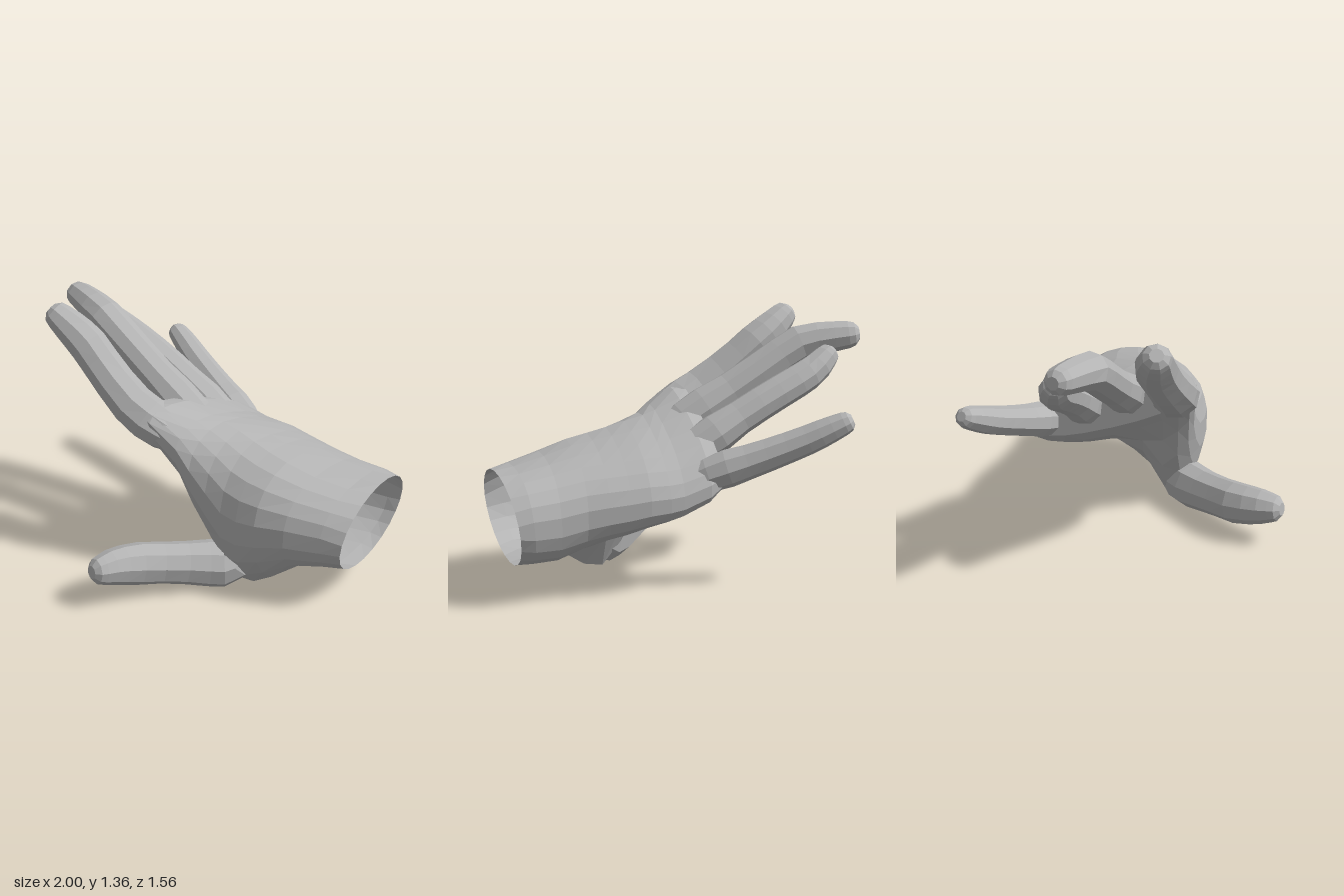
import * as THREE from 'three';

const skin = new THREE.MeshStandardMaterial({ color: 0xb4b4b4, flatShading: true, side: THREE.DoubleSide });
skin.name = 'plain grey';

// Skins a list of rings (arrays of Vector3) and closes the far end.
function loft(name, rings) {
  const n = rings[0].length, pos = [], idx = [];
  rings.forEach(r => r.forEach(p => pos.push(p.x, p.y, p.z)));
  for (let i = 0; i < rings.length - 1; i++) {
    for (let j = 0; j < n; j++) {
      const a = i * n + j, b = i * n + (j + 1) % n;
      idx.push(a, b, a + n, b, b + n, a + n);
    }
  }
  const last = rings[rings.length - 1], base = (rings.length - 1) * n;
  const c = last.reduce((s, p) => s.add(p), new THREE.Vector3()).divideScalar(n);
  pos.push(c.x, c.y, c.z);
  for (let j = 0; j < n; j++) idx.push(base + j, base + (j + 1) % n, rings.length * n);
  const g = new THREE.BufferGeometry();
  g.setAttribute('position', new THREE.Float32BufferAttribute(pos, 3));
  g.setIndex(idx);
  g.computeVertexNormals();
  const mesh = new THREE.Mesh(g, skin);
  mesh.name = name;
  return mesh;
}

// A digit follows points [x, y, z, radius] and ends in a rounded tip.
function digit(name, pts, hint, sides = 9, steps = 9) {
  const curve = new THREE.CatmullRomCurve3(pts.map(p => new THREE.Vector3(p[0], p[1], p[2])));
  const rings = [];
  const radiusAt = u => {
    const f = u * (pts.length - 1), k = Math.min(Math.floor(f), pts.length - 2);
    return THREE.MathUtils.lerp(pts[k][3], pts[k + 1][3], f - k);
  };
  const addRing = (c, t, r) => {
    const side = hint.clone().addScaledVector(t, -hint.dot(t)).normalize();
    const up = t.clone().cross(side);
    rings.push(Array.from({ length: sides }, (_, j) => {
      const a = (j / sides) * Math.PI * 2;
      return c.clone().addScaledVector(side, Math.cos(a) * r).addScaledVector(up, Math.sin(a) * r * 0.95);
    }));
  };
  for (let i = 0; i <= steps; i++) addRing(curve.getPoint(i / steps), curve.getTangent(i / steps), radiusAt(i / steps));
  const end = curve.getPoint(1), dir = curve.getTangent(1), r = radiusAt(1);
  for (const a of [0.55, 1.1]) addRing(end.clone().addScaledVector(dir, r * 0.85 * Math.sin(a)), dir, r * Math.cos(a));
  return loft(name, rings);
}

export function createModel() {
  const hand = new THREE.Group();
  hand.name = 'hand';

  // Wrist to knuckles: [x, z min, z max, centre y, half thickness, sideways slope, drop of the thumb mound]
  const sections = [
    [0.957, -0.655, 0.03, 0.435, 0.237, 0, 0],
    [0.87, -0.65, 0.08, 0.445, 0.237, 0.02, 0],
    [0.72, -0.63, 0.16, 0.465, 0.25, 0.06, 0.05],
    [0.58, -0.62, 0.21, 0.515, 0.24, 0.12, 0.24],
    [0.47, -0.63, 0.22, 0.55, 0.225, 0.16, 0.38],
    [0.37, -0.64, 0.22, 0.58, 0.215, 0.2, 0.45],
    [0.27, -0.65, 0.22, 0.615, 0.2, 0.24, 0.38],
    [0.17, -0.65, 0.23, 0.645, 0.185, 0.29, 0.26],
    [0.1, -0.645, 0.25, 0.67, 0.175, 0.32, 0.1],
    [-0.04, -0.63, 0.29, 0.735, 0.155, 0.35, 0],
    [-0.11, -0.6, 0.28, 0.77, 0.115, 0.36, 0],
  ];
  const sides = 22;
  const palmRings = sections.map(([x, z0, z1, cy, b, slope, drop], i) => {
    const cz = (z0 + z1) / 2, a = (z1 - z0) / 2;
    const tilt = Math.max(0, 1 - i * 0.4);
    const power = i === 0 ? 1 : 0.85;
    const round = v => Math.sign(v) * Math.pow(Math.abs(v), power);
    return Array.from({ length: sides }, (_, j) => {
      const t = ((j + 0.5) / sides) * Math.PI * 2;
      const dz = a * round(Math.cos(t)), dy = b * round(Math.sin(t));
      const mound = drop * THREE.MathUtils.smoothstep(cz + dz, -0.16, 0.06) * (1 - Math.sin(t)) / 2;
      return new THREE.Vector3(x + tilt * (dy * 0.14 + dz * 0.1), cy + slope * dz + dy - mound, cz + dz);
    });
  });
  hand.add(loft('palmAndWrist', palmRings));

  // Four fingers
  const across = new THREE.Vector3(0, 0.3, 1).normalize();
  const fingers = {
    indexFinger: [[0.04, 0.81, 0.15, 0.09], [-0.08, 0.865, 0.185, 0.13], [-0.22, 0.945, 0.21, 0.12], [-0.4, 1.08, 0.205, 0.108],
      [-0.53, 1.19, 0.2, 0.108], [-0.62, 1.26, 0.215, 0.1], [-0.7, 1.325, 0.24, 0.08]],
    middleFinger: [[0.04, 0.77, -0.085, 0.09], [-0.1, 0.86, -0.08, 0.12], [-0.3, 0.98, -0.085, 0.102], [-0.52, 1.12, -0.09, 0.1],
      [-0.68, 1.22, -0.095, 0.102], [-0.82, 1.25, -0.13, 0.09], [-0.93, 1.265, -0.16, 0.077]],
    ringFinger: [[0.04, 0.68, -0.305, 0.08], [-0.1, 0.765, -0.31, 0.115], [-0.28, 0.875, -0.305, 0.094], [-0.45, 0.97, -0.295, 0.092],
      [-0.6, 1.045, -0.28, 0.09], [-0.7, 1.1, -0.262, 0.086], [-0.78, 1.165, -0.235, 0.068]],
    littleFinger: [[0.04, 0.6, -0.5, 0.07], [-0.1, 0.655, -0.54, 0.105], [-0.24, 0.705, -0.585, 0.092], [-0.38, 0.76, -0.63, 0.084],
      [-0.52, 0.82, -0.675, 0.078], [-0.61, 0.865, -0.705, 0.072], [-0.69, 0.905, -0.73, 0.06]],
  };
  for (const [name, pts] of Object.entries(fingers)) hand.add(digit(name, pts, across));

  // Thumb, reaching forward from the heel of the hand
  hand.add(digit('thumb', [[0.4, 0.22, 0.08, 0.09], [0.365, 0.165, 0.12, 0.13], [0.28, 0.165, 0.2, 0.128], [0.165, 0.19, 0.34, 0.112],
    [0.055, 0.215, 0.49, 0.115], [0.0, 0.24, 0.62, 0.102], [-0.02, 0.25, 0.7, 0.08]], new THREE.Vector3(0, 1, 0)));

  return hand;
}
